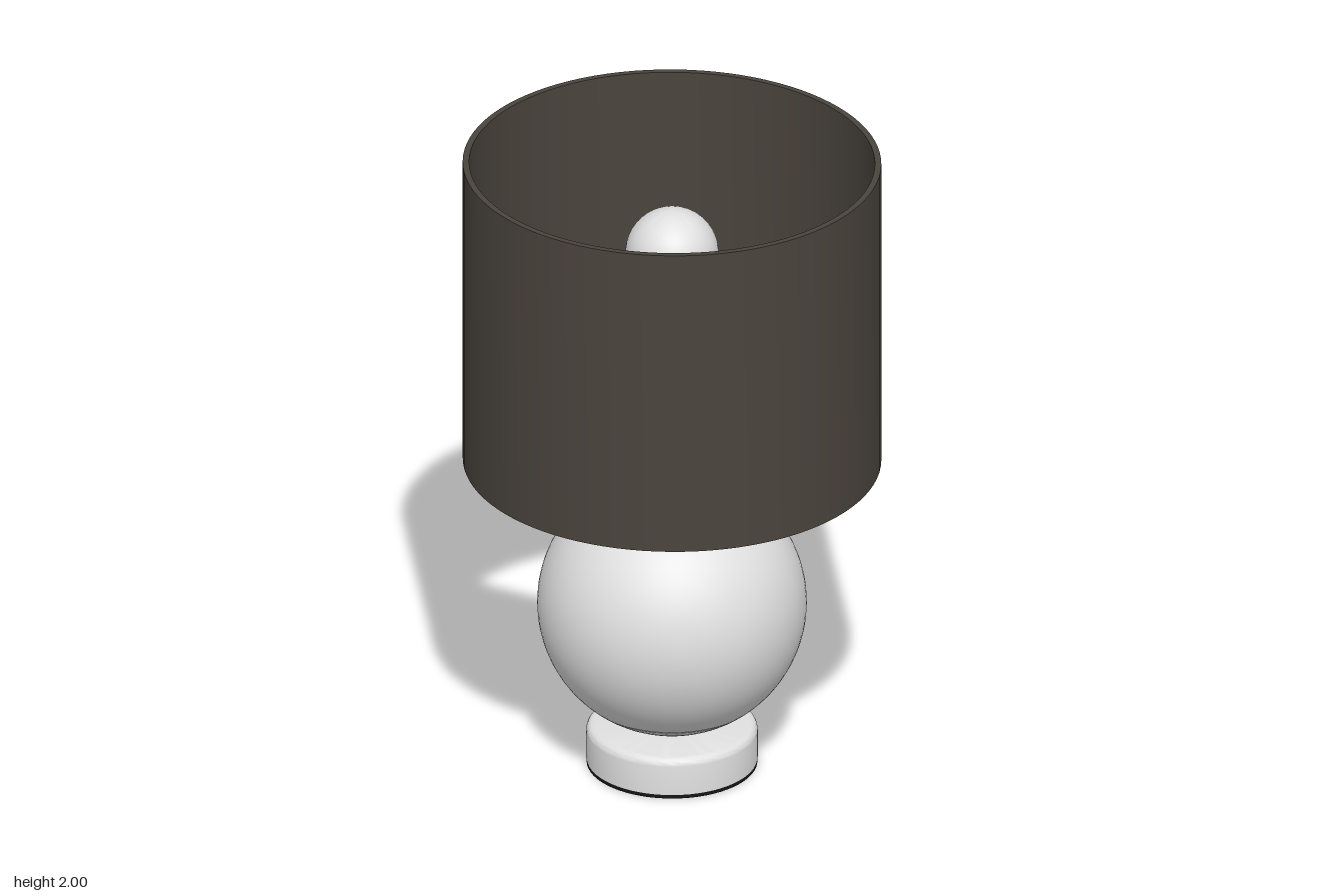
import * as THREE from 'three';
import { toCreasedNormals } from 'three/addons/utils/BufferGeometryUtils.js';

const material = (name, color) => {
  const m = new THREE.MeshStandardMaterial({ color });
  m.name = name;
  return m;
};

export function createModel() {
  const group = new THREE.Group();
  const white = material('white ceramic', 0xe0e0e0);
  const fabric = material('dark brown fabric', 0x4a443d);
  const black = material('black felt', 0x141414);
  const metal = material('pale metal', 0xc8c8c8);

  const add = (name, geometry, mat) => {
    const mesh = new THREE.Mesh(geometry, mat);
    mesh.name = name;
    group.add(mesh);
    return mesh;
  };
  // Turned part from [radius, height] pairs, bottom to top
  const turned = (name, points, mat, segments = 64) => add(name, toCreasedNormals(
    new THREE.LatheGeometry(points.map(([r, y]) => new THREE.Vector2(r, y)), segments), 0.6), mat);

  // Felt foot and rounded plinth
  const foot = add('foot', new THREE.CylinderGeometry(0.256, 0.256, 0.012, 64), black);
  foot.position.y = 0.006;
  const plinth = [[0, 0.012], [0.257, 0.012], [0.257, 0.105]];
  for (let i = 1; i <= 5; i++) {
    const a = i / 5 * Math.PI / 2;
    plinth.push([0.232 + 0.025 * Math.cos(a), 0.105 + 0.025 * Math.sin(a)]);
  }
  plinth.push([0, 0.13]);
  turned('plinth', plinth, white);

  // Cord outlet at the back of the plinth
  const outlet = add('cordOutlet', new THREE.CylinderGeometry(0.02, 0.02, 0.012, 20), black);
  outlet.rotation.x = Math.PI / 2;
  outlet.position.set(0, 0.07, -0.256);

  // Ball body with a fine groove near the top and the bottom
  const R = 0.404, seam = Math.asin(0.256 / R), ball = [];
  const at = (a, r = R) => [Math.max(0, r * Math.sin(a)), 0.532 - r * Math.cos(a)];
  const arc = (from, to, n) => {
    for (let i = 0; i <= n; i++) ball.push(at(from + (to - from) * i / n));
  };
  const gap = 0.008;
  arc(0, seam - gap, 10);
  ball.push(at(seam, R - 0.006));
  arc(seam + gap, Math.PI - seam - gap, 30);
  ball.push(at(Math.PI - seam, R - 0.006));
  arc(Math.PI - seam + gap, Math.PI, 10);
  turned('ballBody', ball, white, 80);

  // Stem, lamp holder and bulb
  turned('stem', [[0.03, 0.92], [0.03, 1.12]], white, 32);
  turned('lampHolder', [[0, 1.1], [0.066, 1.1], [0.075, 1.11], [0.075, 1.31], [0.068, 1.32], [0, 1.32]], white, 40);
  const bulb = [[0.06, 1.31], [0.065, 1.4], [0.08, 1.48], [0.102, 1.57]];
  for (let i = 0; i <= 16; i++) {
    const a = -0.6 + (Math.PI / 2 + 0.6) * i / 16;
    bulb.push([0.14 * Math.cos(a), 1.7 + 0.14 * Math.sin(a)]);
  }
  turned('bulb', bulb, white, 48);

  // Shade carrier: collar and three sloping arms
  const collar = add('carrierCollar', new THREE.TorusGeometry(0.095, 0.012, 10, 48), metal);
  collar.rotation.x = Math.PI / 2;
  collar.position.y = 1.31;
  const plate = add('carrierPlate', new THREE.CylinderGeometry(0.095, 0.095, 0.008, 40), metal);
  plate.position.y = 1.31;
  for (let i = 0; i < 3; i++) {
    const a = i * Math.PI * 2 / 3;
    const point = (r, y) => new THREE.Vector3(r * Math.sin(a), y, r * Math.cos(a));
    add('carrierArm', new THREE.TubeGeometry(
      new THREE.LineCurve3(point(0.09, 1.31), point(0.612, 1.06)), 1, 0.006, 8), metal);
  }

  // Drum shade, an open wall with thickness
  const shade = turned('shade', [[0.624, 1.01], [0.624, 2], [0.605, 2], [0.605, 1.01], [0.624, 1.01]], fabric, 96);
  shade.scale.z = 1.012;

  return group;
}
